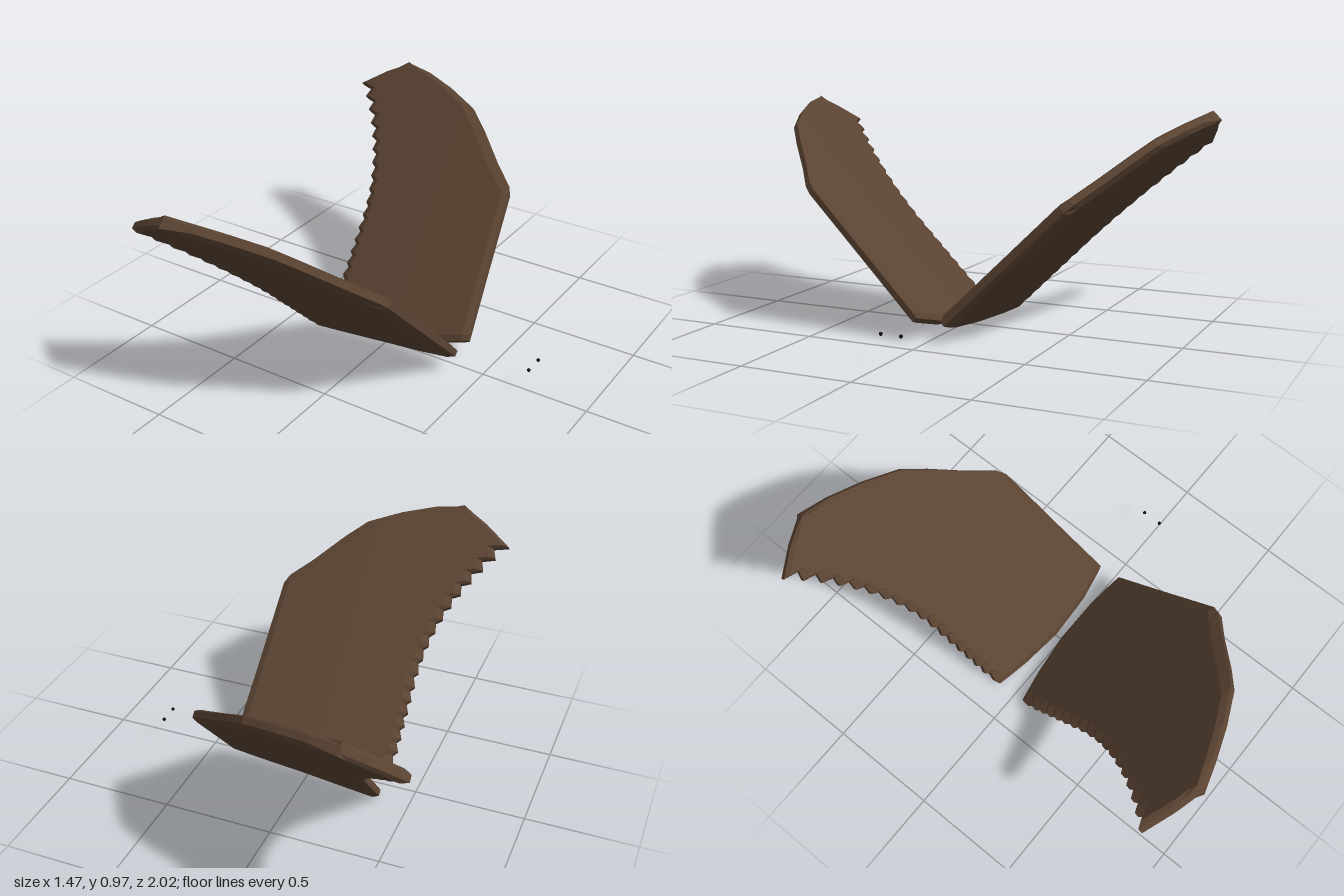
import * as THREE from 'three';

const clamp = THREE.MathUtils.clamp;
const HALF_THICK = 0.028;
const TIP_U = 1.196;

// Leading edge, as [span, x] from root to the crest
const LEAD = [[0, 0.39], [0.8, 0.37], [0.845, 0.35], [0.94, 0.26], [1.085, 0.14], [1.18, 0.05],
  [1.26, -0.1], [1.32, -0.25], [1.35, -0.38]];

// Trailing edge: feather tips and notches that deepen toward the wing tip
function trailingEdge() {
  const pts = [[0, -0.355], [0.03, -0.36]];
  for (let k = 16; k >= 0; k--) {
    const u = TIP_U - 0.068 * k;
    const f = Math.pow(Math.max(0, (u - 0.5) / 0.7), 2);
    const x = -0.365 - 0.265 * f;
    pts.push([u - 0.02, x + 0.018 + 0.05 * f], [u, x]);
  }
  pts.push([1.285, -0.5], [1.35, -0.38]);
  return pts;
}

function sample(pts, u) {
  for (let i = 1; i < pts.length; i++) {
    if (u <= pts[i][0]) {
      const [u0, x0] = pts[i - 1], [u1, x1] = pts[i];
      return x0 + (x1 - x0) * (u - u0) / (u1 - u0);
    }
  }
  return pts[pts.length - 1][1];
}

// The chord is gently folded along x = 0, and the root edge is bowed
const fold = (x) => (x > 0 ? 0.07 * x : 0.1 * x);
const rootBow = (x) => (x > 0 ? 0.08 * (x / 0.39) ** 2 : 0.04 * (x / 0.36) ** 2);

// Wing lofted from bevelled chord sections; place() maps (x, span, normal) to space
function wingGeometry(place, flip) {
  const trail = trailingEdge();
  const rows = [...new Set([...trail, ...LEAD].map((p) => p[0]))].sort((a, b) => a - b);
  const M = 7, ring = M * 2;
  const pos = [], idx = [];
  for (const u of rows) {
    const t = sample(trail, u), l = sample(LEAD, u);
    const w = l - t;
    const bt = Math.min(0.03, w * 0.4);
    const bl = Math.min(u > 0.82 ? 0.06 : 0.03, w * 0.4);
    const xs = [t, t + bt];
    for (const s of [-0.2, 0, 0.22]) xs.push(clamp(s, t + bt, l - bl));
    xs.push(l - bl, l);
    const end = u === 0 ? 0.5 : 1;
    const put = (i, side) => {
      const x = xs[i];
      const edge = i === 0 || i === M - 1 ? 0.5 : 1;
      const h = HALF_THICK * Math.min(edge, end);
      const span = u + rootBow(x) * Math.max(0, 1 - u / 0.4);
      pos.push(...place(x, span, fold(x) + side * h));
    };
    for (let i = 0; i < M; i++) put(i, 1);
    for (let i = M - 1; i >= 0; i--) put(i, -1);
  }
  const tri = (a, b, c) => (flip ? idx.push(a, c, b) : idx.push(a, b, c));
  for (let j = 0; j < rows.length - 1; j++) {
    for (let i = 0; i < ring; i++) {
      const a = j * ring + i, b = j * ring + (i + 1) % ring;
      tri(a, b, b + ring);
      tri(a, b + ring, a + ring);
    }
  }
  // Root cap
  for (let i = 0; i < M - 1; i++) {
    const p = ring - 1 - i;
    tri(i, p, p - 1);
    tri(i, p - 1, i + 1);
  }
  const g = new THREE.BufferGeometry();
  g.setAttribute('position', new THREE.Float32BufferAttribute(pos, 3));
  g.setIndex(idx);
  const flat = g.toNonIndexed();
  flat.computeVertexNormals();
  return flat;
}

export function createModel() {
  const group = new THREE.Group();
  const brown = new THREE.MeshStandardMaterial({ color: 0x5a4332, flatShading: true });
  brown.name = 'feather brown';
  const black = new THREE.MeshStandardMaterial({ color: 0x0c0c0c });
  black.name = 'eye black';
  const S = Math.SQRT1_2;

  // Wing rising toward the front
  const left = new THREE.Mesh(
    wingGeometry((x, u, n) => [x, 0.04 + S * (u + n), 0.01 + S * (u - n)], true), brown);
  left.name = 'frontWing';

  // Wing rising toward the back, swept a little more
  const right = new THREE.Mesh(
    wingGeometry((x, u, n) => [x - 0.09 * u, 0.035 + S * (u * 0.985 + n), -0.04 - S * (u * 0.968 - n)], false), brown);
  right.name = 'backWing';
  group.add(left, right);

  // Tiny eyes ahead of the wings
  for (const [name, z] of [['frontEye', 0.02], ['backEye', -0.07]]) {
    const eye = new THREE.Mesh(new THREE.SphereGeometry(0.008, 12, 8), black);
    eye.name = name;
    eye.position.set(0.73, 0.14, z);
    group.add(eye);
  }
  return group;
}
